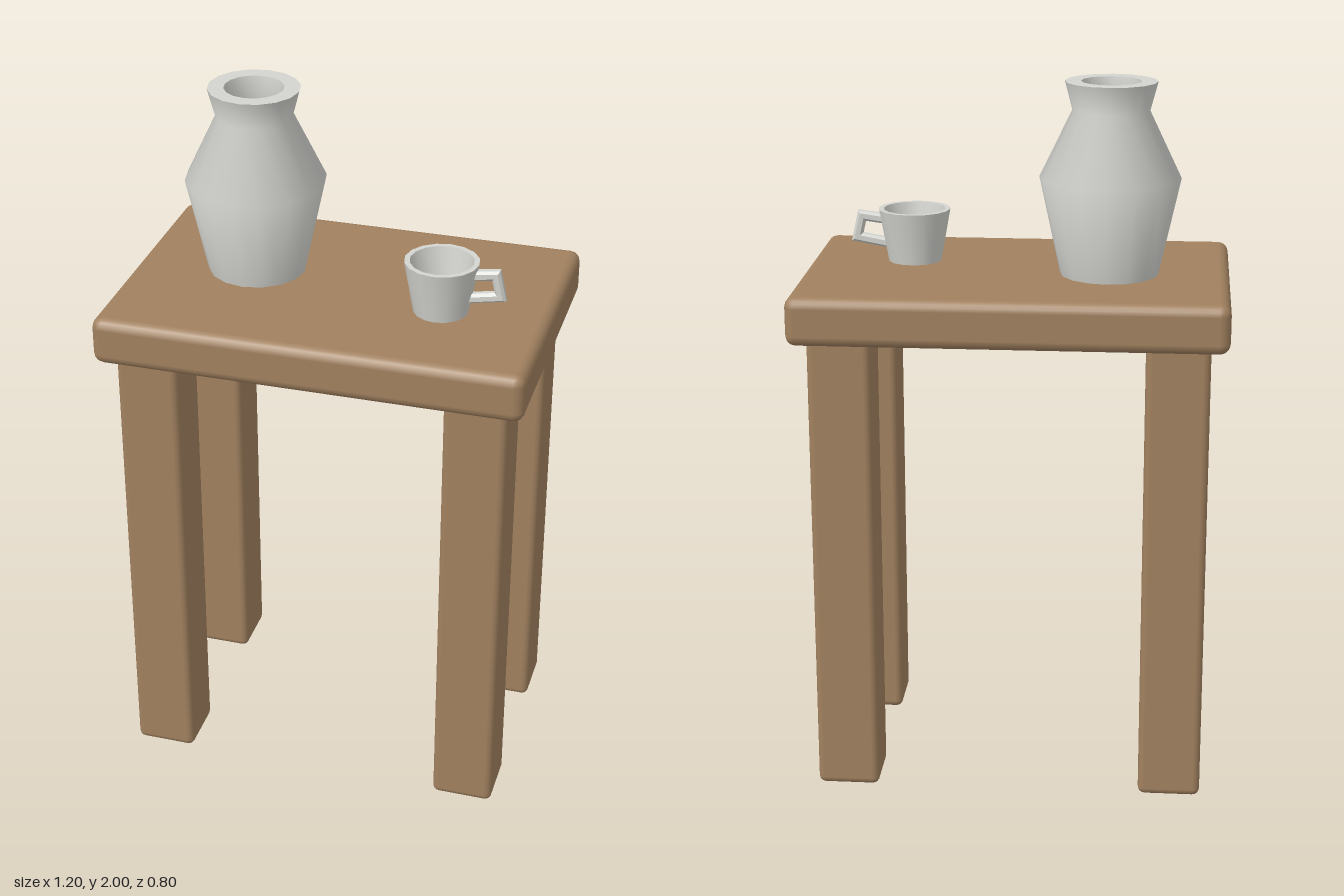
import * as THREE from 'three';
import { toCreasedNormals } from 'three/addons/utils/BufferGeometryUtils.js';
import { RoundedBoxGeometry } from 'three/addons/geometries/RoundedBoxGeometry.js';

const TOP = 1.462; // height of the table surface

export function createModel() {
  const model = new THREE.Group();
  model.name = 'tableWithPottery';
  const wood = new THREE.MeshStandardMaterial({ color: 0xa1815f });
  wood.name = 'wood';
  const ceramic = new THREE.MeshStandardMaterial({ color: 0xd3d4cf });
  ceramic.name = 'ceramic';

  const add = (parent, name, geometry, material, x, y, z) => {
    const mesh = new THREE.Mesh(geometry, material);
    mesh.name = name;
    mesh.position.set(x, y, z);
    parent.add(mesh);
    return mesh;
  };
  // Hollow vessel: outside wall upwards, then inside wall down to the floor
  const vessel = (profile) => toCreasedNormals(
    new THREE.LatheGeometry(profile.map(([r, y]) => new THREE.Vector2(r, y)), 16), 0.8);

  // Table
  const table = new THREE.Group();
  table.name = 'table';
  model.add(table);
  add(table, 'tableTop', new RoundedBoxGeometry(1.2, 0.137, 0.8, 2, 0.03), wood, 0, TOP - 0.0685, 0);
  const legShape = new RoundedBoxGeometry(0.176, 1.36, 0.176, 2, 0.02);
  for (const [side, x] of [['Left', 0.462], ['Right', -0.462]]) {
    for (const [end, z] of [['front', 0.262], ['back', -0.262]]) {
      add(table, `${end}${side}Leg`, legShape, wood, x, 0.68, z);
    }
  }

  // Vase
  add(model, 'vase', vessel([
    [0, 0], [0.138, 0], [0.197, 0.272], [0.107, 0.458], [0.128, 0.538],
    [0.083, 0.538], [0.071, 0.458], [0.16, 0.272], [0.108, 0.03], [0, 0.03],
  ]), ceramic, -0.262, TOP, -0.04);

  // Cup
  const cup = new THREE.Group();
  cup.name = 'cup';
  cup.position.set(0.3, TOP, 0.079);
  model.add(cup);
  add(cup, 'cupBody', vessel([
    [0, 0], [0.076, 0], [0.103, 0.15], [0.088, 0.15], [0.064, 0.02], [0, 0.02],
  ]), ceramic, 0, 0, 0);

  // Angular handle: a bracket with chamfered edges
  const bracket = new THREE.Shape([
    [0.085, 0.125], [0.156, 0.135], [0.173, 0.06], [0.078, 0.042],
    [0.078, 0.056], [0.157, 0.071], [0.146, 0.12], [0.085, 0.111],
  ].map(([x, y]) => new THREE.Vector2(x, y)));
  const handle = new THREE.ExtrudeGeometry(bracket, {
    depth: 0.014, bevelEnabled: true, bevelThickness: 0.008, bevelSize: 0.007, bevelSegments: 1,
  });
  handle.translate(0, 0, -0.007);
  add(cup, 'cupHandle', handle, ceramic, 0, 0, 0);

  return model;
}
